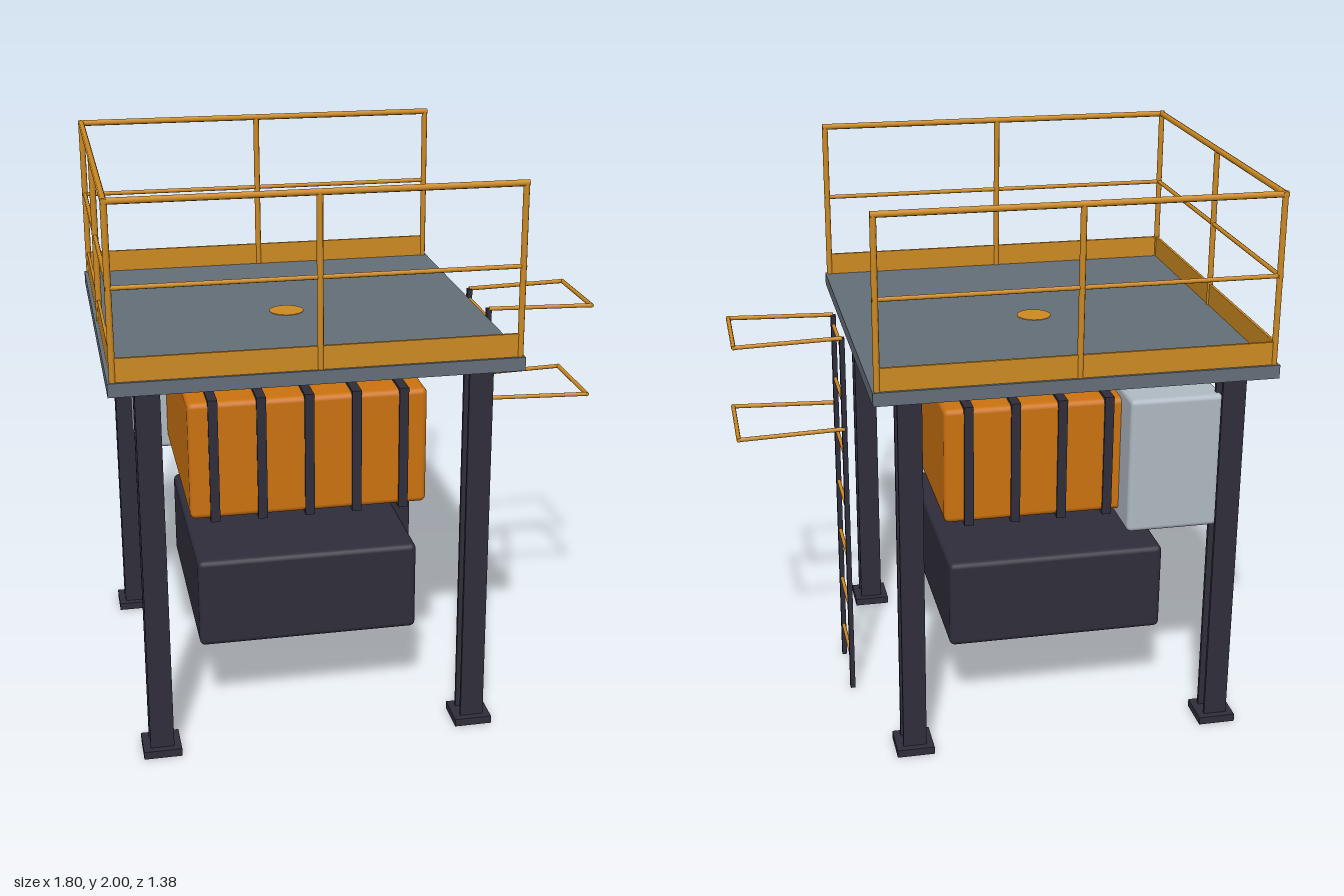
import * as THREE from 'three';
import { RoundedBoxGeometry } from 'three/addons/geometries/RoundedBoxGeometry.js';

const material = (name, color) => {
  const m = new THREE.MeshStandardMaterial({ color });
  m.name = name;
  return m;
};

export function createModel() {
  const model = new THREE.Group();
  model.name = 'equipmentPlatform';

  const steel = material('darkSteel', 0x2e2d3a);
  const deckGrey = material('deckGrey', 0x646e78);
  const orange = material('tankOrange', 0xcb7210);
  const amber = material('safetyAmber', 0xcd8a22);
  const paleGrey = material('cabinetGrey', 0xb0bac2);

  const group = (name) => {
    const g = new THREE.Group();
    g.name = name;
    model.add(g);
    return g;
  };
  const add = (parent, name, geometry, mat, x, y, z) => {
    const mesh = new THREE.Mesh(geometry, mat);
    mesh.name = name;
    mesh.position.set(x, y, z);
    parent.add(mesh);
    return mesh;
  };
  const box = (parent, name, mat, w, h, d, x, y, z) =>
    add(parent, name, new THREE.BoxGeometry(w, h, d), mat, x, y, z);
  const softBox = (parent, name, mat, w, h, d, r, x, y, z) =>
    add(parent, name, new RoundedBoxGeometry(w, h, d, 2, r), mat, x, y, z);
  // Round bar between two points
  const bar = (parent, name, mat, r, from, to) => {
    const a = new THREE.Vector3(...from), b = new THREE.Vector3(...to);
    const dir = b.clone().sub(a);
    const mid = a.add(b).multiplyScalar(0.5);
    const mesh = add(parent, name, new THREE.CylinderGeometry(r, r, dir.length(), 8), mat, mid.x, mid.y, mid.z);
    mesh.quaternion.setFromUnitVectors(new THREE.Vector3(0, 1, 0), dir.normalize());
    return mesh;
  };

  const cx = -0.21; // platform centre line

  // Deck
  box(model, 'deck', deckGrey, 1.38, 0.047, 1.38, cx, 1.3825, 0);

  // I-section legs on base plates
  for (const sx of [-1, 1]) {
    for (const sz of [-1, 1]) {
      const leg = group('leg');
      leg.position.set(cx + sx * 0.56, 0, sz * 0.58);
      for (const f of [-1, 1]) box(leg, 'flange', steel, 0.083, 1.34, 0.014, 0, 0.69, f * 0.0345);
      box(leg, 'web', steel, 0.02, 1.34, 0.06, 0, 0.69, 0);
      box(leg, 'basePlate', steel, 0.133, 0.028, 0.133, 0, 0.014, 0);
    }
  }

  // Banded tank with its neck through the deck
  softBox(model, 'tank', orange, 0.835, 0.425, 0.915, 0.02, cx, 1.0225, 0);
  for (let i = -2; i <= 2; i++) {
    box(model, 'tankBand', steel, 0.033, 0.445, 0.93, cx + i * 0.166, 1.0225, 0);
  }
  add(model, 'neck', new THREE.CylinderGeometry(0.062, 0.062, 0.17, 24), amber, cx, 1.323, 0);

  // Lower block and side cabinet
  softBox(model, 'lowerBlock', steel, 0.79, 0.33, 0.85, 0.02, cx, 0.465, 0);
  softBox(model, 'cabinet', paleGrey, 0.33, 0.495, 0.24, 0.018, -0.585, 1.0225, -0.46);

  // Guard rails on three sides, open towards the ladder
  const x0 = -0.882, x1 = 0.464, zr = 0.675;
  const railing = group('railing');
  const posts = [[x0, 0]];
  for (const z of [-zr, zr]) for (const x of [x0, cx, x1]) posts.push([x, z]);
  for (const [x, z] of posts) bar(railing, 'post', amber, 0.011, [x, 1.406, z], [x, 1.99, z]);
  for (const [y, r] of [[1.99, 0.011], [1.715, 0.008]]) {
    for (const z of [-zr, zr]) bar(railing, 'rail', amber, r, [x0 - 0.01, y, z], [x1 + 0.01, y, z]);
    bar(railing, 'rail', amber, r, [x0, y, -zr - 0.01], [x0, y, zr + 0.01]);
  }
  for (const z of [-zr, zr]) box(railing, 'toeBoard', amber, x1 - x0, 0.08, 0.01, cx, 1.446, z);
  box(railing, 'toeBoard', amber, 0.01, 0.08, zr * 2, x0, 1.446, 0);

  // Ladder
  const ladder = group('ladder');
  const lx = 0.513, lz = 0.131;
  for (const z of [-lz, lz]) box(ladder, 'ladderRail', steel, 0.018, 1.41, 0.02, lx, 0.705, z);
  for (let i = 0; i < 7; i++) {
    const y = 0.13 + i * 0.207;
    bar(ladder, 'rung', amber, 0.007, [lx, y, -lz], [lx, y, lz]);
  }

  // Flared guard hoops
  for (const y of [1.066, 1.41]) {
    for (const s of [-1, 1]) bar(ladder, 'hoopArm', amber, 0.008, [lx, y, s * 0.136], [0.892, y, s * 0.167]);
    bar(ladder, 'hoopEnd', amber, 0.008, [0.892, y, -0.172], [0.892, y, 0.172]);
  }

  return model;
}
